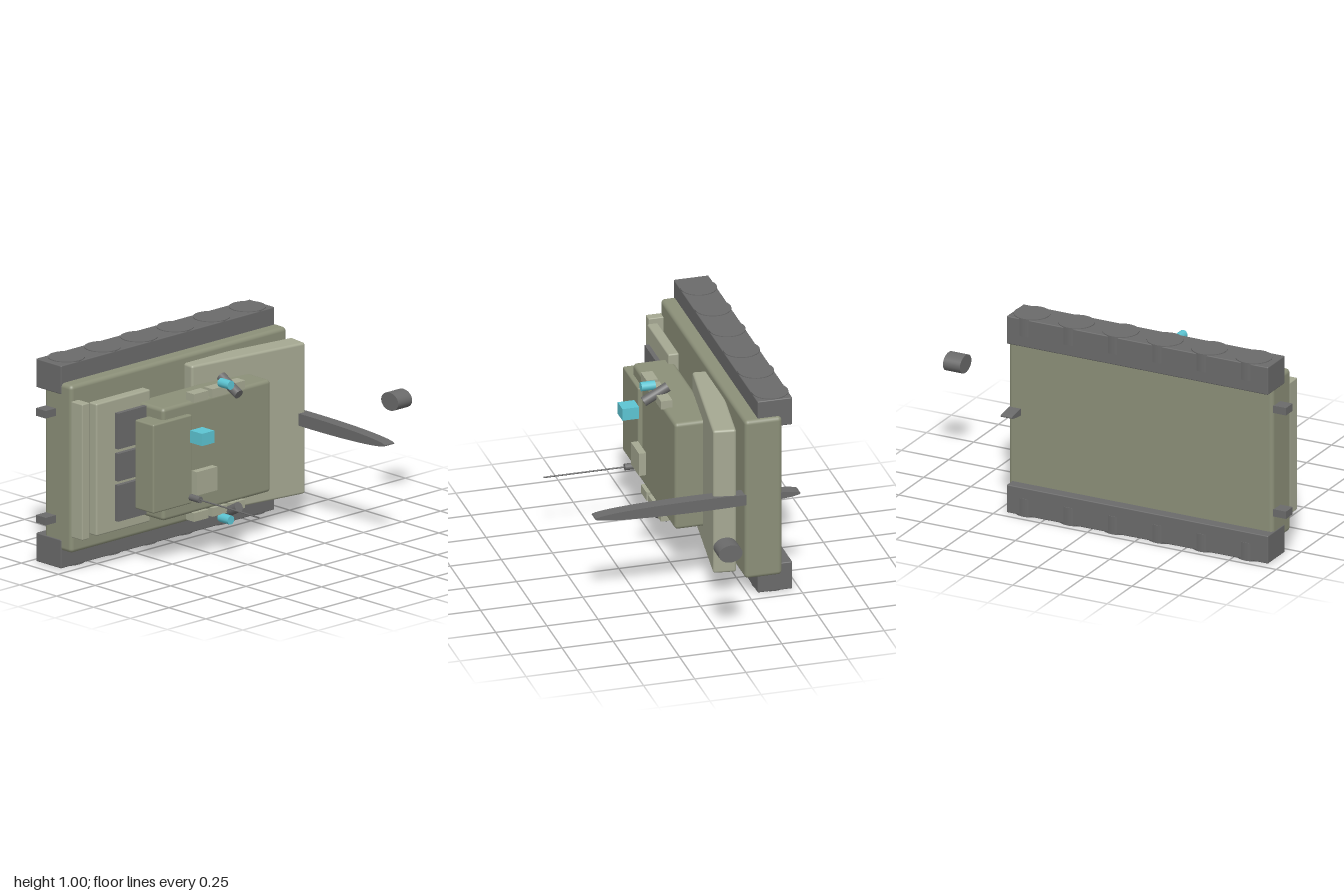
import * as THREE from 'three';
import { RoundedBoxGeometry } from 'three/addons/geometries/RoundedBoxGeometry.js';

const paint = (color) => new THREE.MeshStandardMaterial({ color });

export function createModel() {
  const group = new THREE.Group();
  const olive = paint(0x8b8f78), pale = paint(0xa5a892), dark = paint(0x6a6a6a), cyan = paint(0x5cc4d2);

  const add = (name, geometry, material) => {
    const mesh = new THREE.Mesh(geometry, material);
    mesh.name = name;
    group.add(mesh);
    return mesh;
  };

  // Box given by its limits on each axis, with an optional edge radius
  const box = (name, material, [x0, x1], [y0, y1], [z0, z1], r = 0) => {
    const size = [x1 - x0, y1 - y0, z1 - z0];
    const geometry = r ? new RoundedBoxGeometry(...size, 3, r) : new THREE.BoxGeometry(...size);
    const mesh = add(name, geometry, material);
    mesh.position.set((x0 + x1) / 2, (y0 + y1) / 2, (z0 + z1) / 2);
    return mesh;
  };

  // Cylinder between two points
  const rod = (name, material, from, to, radius, sides = 20) => {
    const a = new THREE.Vector3(...from), b = new THREE.Vector3(...to);
    const axis = b.clone().sub(a);
    const mesh = add(name, new THREE.CylinderGeometry(radius, radius, axis.length(), sides), material);
    mesh.position.copy(a).add(b).multiplyScalar(0.5);
    mesh.quaternion.setFromUnitVectors(new THREE.Vector3(0, 1, 0), axis.normalize());
    return mesh;
  };

  // Elliptical disc with its axis along x
  const disc = (name, x0, x1, radiusY, radiusZ, sides) => {
    const geometry = new THREE.CylinderGeometry(1, 1, x1 - x0, sides);
    geometry.rotateZ(Math.PI / 2).scale(1, radiusY, radiusZ);
    add(name, geometry, dark).position.set((x0 + x1) / 2, 0.5, 0);
  };

  // Hull, sloped front plate and rear deck
  box('hull', olive, [-0.935, 0.465], [0.09, 0.91], [-0.412, -0.23], 0.02);
  const plate = box('frontPlate', pale, [-0.205, 0.451], [0.13, 0.87], [-0.235, -0.125], 0.012);
  plate.rotation.y = -0.138;
  box('rearDeck', pale, [-0.855, -0.505], [0.178, 0.825], [-0.195, -0.142], 0.008);
  box('rearBar', pale, [-0.932, -0.884], [0.17, 0.835], [-0.235, -0.158], 0.005);
  for (const [y0, y1] of [[0.238, 0.415], [0.435, 0.57], [0.592, 0.767]])
    box('grille', dark, [-0.755, -0.53], [y0, y1], [-0.122, -0.1]);

  // Turret with rear box and roof fittings
  box('turret', olive, [-0.572, 0.128], [0.225, 0.775], [-0.177, 0.013], 0.018);
  box('turretRear', olive, [-0.657, -0.405], [0.285, 0.72], [-0.09, 0.036], 0.008);
  box('hatch', pale, [-0.408, -0.274], [0.33, 0.445], [0.035, 0.07]);
  box('sight', cyan, [-0.43, -0.35], [0.59, 0.65], [0.047, 0.128]);
  rod('antennaBase', dark, [-0.413, 0.317, 0.03], [-0.413, 0.317, 0.1], 0.016, 12);
  rod('antenna', dark, [-0.413, 0.317, 0.1], [-0.413, 0.317, 0.495], 0.004, 8);

  // Flattened barrel disc and detached muzzle
  disc('barrel', 0.4, 0.46, 0.03, 0.502, 48);
  disc('muzzle', 0.91, 1, 0.044, 0.058, 32);

  // Parts mirrored across the centre line y = 0.5
  for (const s of [-1, 1]) {
    const at = (d) => 0.5 + s * d;
    const span = (a, b) => [at(a), at(b)].sort((p, q) => p - q);

    box('track', dark, [-0.938, 0.447], span(0.356, 0.496), [-0.466, -0.296], 0.005);
    for (let i = 0; i < 6; i++) {
      const x = -0.82 + i * 0.235;
      rod('wheel', dark, [x, at(0.41), -0.383], [x, at(0.5), -0.383], 0.087, 28);
    }
    box('exhaust', dark, [-1, -0.92], span(0.243, 0.28), [-0.402, -0.335]);

    for (const x of [-0.338, -0.218, -0.101])
      box('sideBlock', pale, [x - 0.047, x + 0.047], span(0.27, 0.312), [-0.028, 0.028]);
    rod('launcher', dark, [-0.15, at(0.275), 0.085], [-0.15, at(0.338), -0.034], 0.024);
    rod('sideLamp', cyan, [-0.2, at(0.33), 0.015], [-0.2, at(0.33), 0.084], 0.022, 12);
  }

  return group;
}
